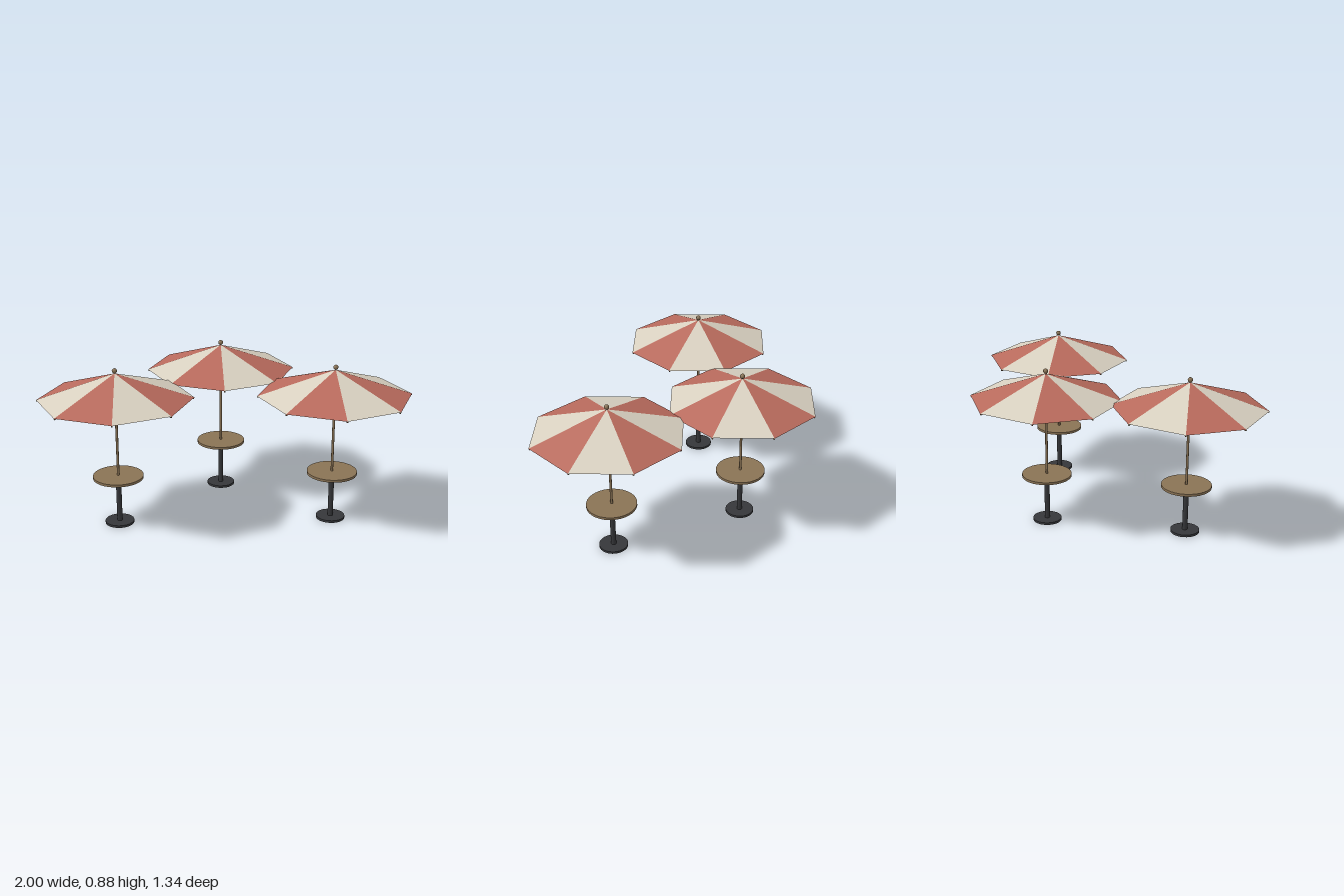
import * as THREE from 'three';

const mat = (name, color, extra = {}) => {
  const m = new THREE.MeshStandardMaterial({ color, ...extra });
  m.name = name;
  return m;
};

export function createModel() {
  const root = new THREE.Group();
  root.name = 'parasolTables';

  const cream = mat('creamFabric', 0xd8d0c0, { side: THREE.DoubleSide });
  const red = mat('redFabric', 0xb86a5c, { side: THREE.DoubleSide });
  const wood = mat('wood', 0x8a7355);
  const iron = mat('darkIron', 0x36373a);

  const APEX = 0.857, RIM = 0.717, R = 0.417, SIDES = 8;

  const add = (parent, name, geometry, material, y = 0) => {
    const mesh = new THREE.Mesh(geometry, material);
    mesh.name = name;
    mesh.position.y = y;
    parent.add(mesh);
    return mesh;
  };
  const disc = (r, h, seg) => new THREE.CylinderGeometry(r, r, h, seg);
  const rimPoint = (i, r = R, y = RIM) => {
    const a = (i / SIDES) * Math.PI * 2;
    return new THREE.Vector3(Math.cos(a) * r, y, Math.sin(a) * r);
  };

  // One flat triangular canopy panel between two neighbouring ribs
  const panel = (i) => {
    const g = new THREE.BufferGeometry().setFromPoints([
      new THREE.Vector3(0, APEX, 0), rimPoint(i + 1), rimPoint(i),
    ]);
    g.computeVertexNormals();
    return g;
  };

  const makeParasol = () => {
    const set = new THREE.Group();

    // Table and stand
    add(set, 'base', disc(0.079, 0.013, 32), iron, 0.0065);
    add(set, 'pedestal', disc(0.0145, 0.255, 16), iron, 0.1395);
    add(set, 'tableTop', disc(0.137, 0.014, 32), wood, 0.273);
    add(set, 'pole', disc(0.007, 0.58, 12), wood, 0.565);
    add(set, 'finial', new THREE.SphereGeometry(0.014, 8, 6), wood, 0.871);

    // Canopy with a rib under each seam
    const canopy = new THREE.Group();
    canopy.name = 'canopy';
    set.add(canopy);
    for (let i = 0; i < SIDES; i++) {
      add(canopy, 'panel', panel(i), i % 2 ? cream : red);
      const start = new THREE.Vector3(0, APEX - 0.006, 0);
      const end = rimPoint(i, R - 0.002, RIM - 0.005);
      const rib = add(canopy, 'rib', new THREE.BoxGeometry(0.007, 0.007, start.distanceTo(end)), wood);
      rib.position.copy(start).add(end).multiplyScalar(0.5);
      rib.lookAt(end);
    }
    return set;
  };

  // Two parasols in front, one behind
  [['leftParasol', 0.583, 0.255], ['rightParasol', -0.583, 0.255], ['backParasol', 0, -0.255]]
    .forEach(([name, x, z]) => {
      const parasol = makeParasol();
      parasol.name = name;
      parasol.position.set(x, 0, z);
      root.add(parasol);
    });
  return root;
}
